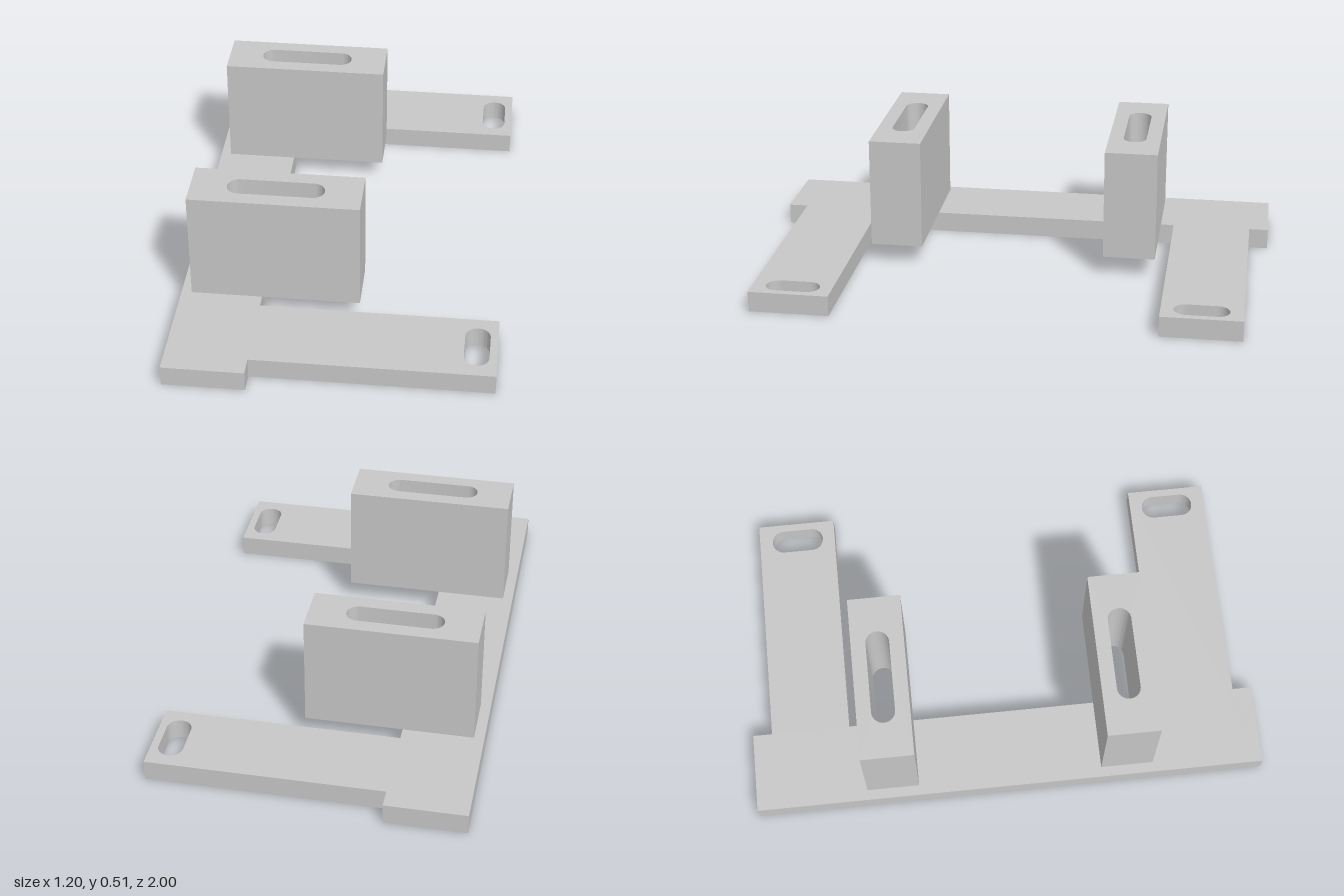
import * as THREE from 'three';
import { toCreasedNormals } from 'three/addons/utils/BufferGeometryUtils.js';

const PLATE_H = 0.08, TOP = 0.513;
const SLOT_Z = 0.463, SLOT_R = 0.045, SLOT_X0 = -0.427, SLOT_X1 = -0.063;

// Rounded slot outline, long along x or along z
function slot(x0, x1, z0, z1) {
  const p = new THREE.Path();
  const r = Math.min(x1 - x0, z1 - z0) / 2;
  if (x1 - x0 > z1 - z0) {
    const z = (z0 + z1) / 2;
    p.absarc(x1 - r, z, r, -Math.PI / 2, Math.PI / 2, false);
    p.absarc(x0 + r, z, r, Math.PI / 2, Math.PI * 1.5, false);
  } else {
    const x = (x0 + x1) / 2;
    p.absarc(x, z1 - r, r, 0, Math.PI, false);
    p.absarc(x, z0 + r, r, Math.PI, Math.PI * 2, false);
  }
  p.closePath();
  return p;
}

// Extrude a ground-plan shape upwards
function slab(name, shape, bottom, top, material) {
  const geo = new THREE.ExtrudeGeometry(shape, { depth: top - bottom, bevelEnabled: false, curveSegments: 20 });
  geo.rotateX(-Math.PI / 2);
  geo.translate(0, bottom, 0);
  const mesh = new THREE.Mesh(toCreasedNormals(geo, 0.6), material);
  mesh.name = name;
  return mesh;
}

export function createModel() {
  const grey = new THREE.MeshStandardMaterial({ color: 0xc7c7c7 });
  grey.name = 'lightGrey';
  const group = new THREE.Group();
  group.name = 'bracket';

  // Base plate: spine, two arms and two open round-ended notches
  const L = -0.602, E = -0.295, R = 0.602;
  const plate = new THREE.Shape();
  plate.moveTo(L, -1).lineTo(E, -1).lineTo(E, -0.925).lineTo(R, -0.925).lineTo(R, -0.617).lineTo(E, -0.617);
  for (const z of [-SLOT_Z, SLOT_Z]) {
    plate.lineTo(E, z - SLOT_R);
    plate.absarc(SLOT_X0 + SLOT_R, z, SLOT_R, -Math.PI / 2, Math.PI / 2, true);
    plate.lineTo(E, z + SLOT_R);
  }
  plate.lineTo(E, 0.617).lineTo(R, 0.617).lineTo(R, 0.925).lineTo(E, 0.925).lineTo(E, 1).lineTo(L, 1);
  plate.closePath();
  plate.holes.push(slot(0.48, 0.573, 0.666, 0.873), slot(0.48, 0.573, -0.873, -0.666));
  group.add(slab('basePlate', plate, 0, PLATE_H, grey));

  // Upright blocks with a slot running right through
  for (const side of [1, -1]) {
    const z = side * SLOT_Z, h = 0.102;
    const block = new THREE.Shape();
    block.moveTo(-0.563, z - h).lineTo(0.076, z - h).lineTo(0.076, z + h).lineTo(-0.563, z + h);
    block.closePath();
    block.holes.push(slot(SLOT_X0, SLOT_X1, z - SLOT_R, z + SLOT_R));
    group.add(slab(side > 0 ? 'backBlock' : 'frontBlock', block, PLATE_H, TOP, grey));
  }
  return group;
}
